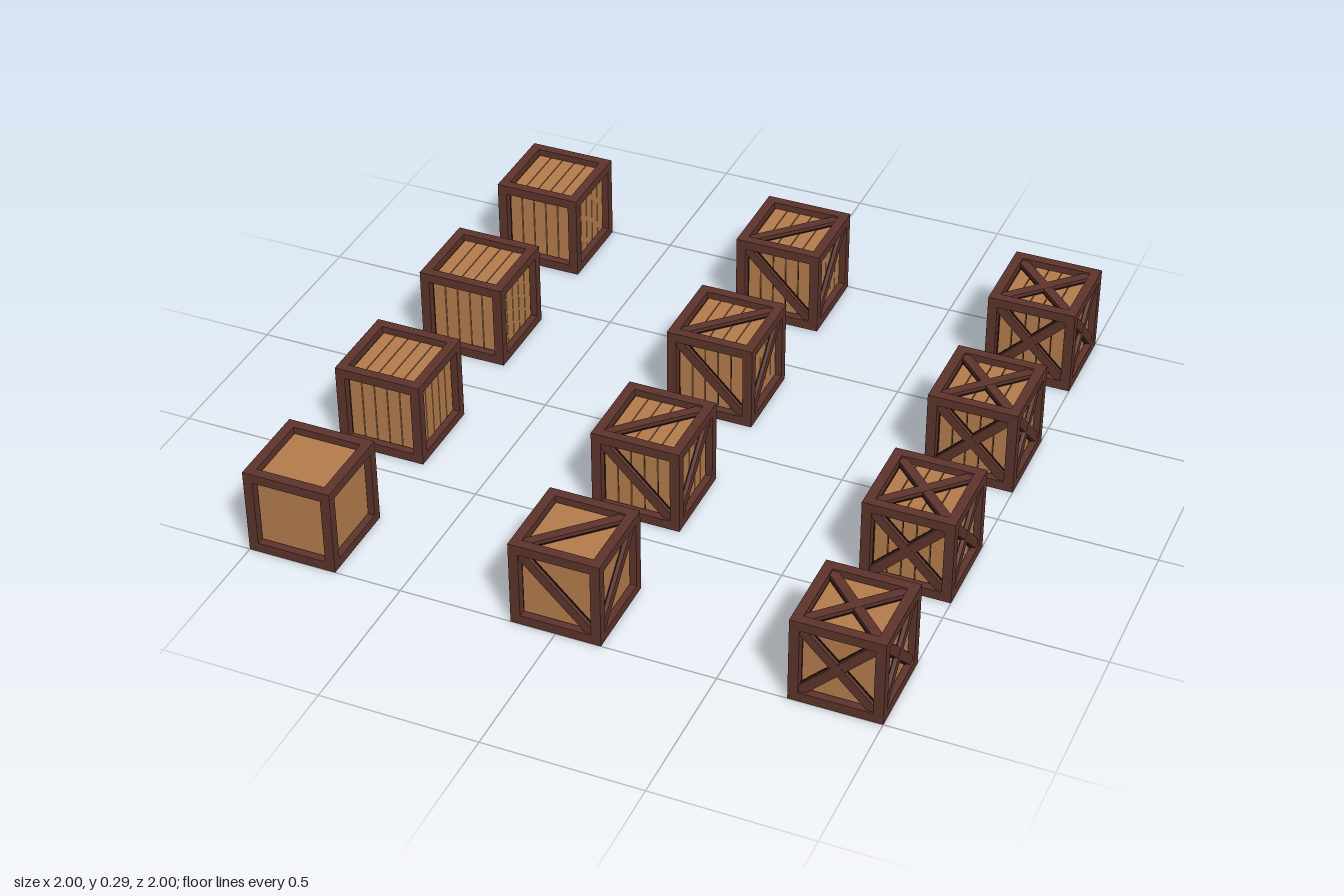
import * as THREE from 'three';

const S = 2 / 7;          // crate size
const H = S / 2;
const F = 0.031;          // frame bar thickness
const O = H - F;          // half width of the opening inside the frame

const material = (name, color) => {
  const m = new THREE.MeshStandardMaterial({ color });
  m.name = name;
  return m;
};

export function createModel() {
  const wood = material('lightWood', 0xb57d4c);
  const dark = material('darkWood', 0x5c342c);
  const gap = material('gapShadow', 0x1e110e);

  const add = (parent, name, geometry, mat, x = 0, y = 0, z = 0) => {
    const mesh = new THREE.Mesh(geometry, mat);
    mesh.name = name;
    mesh.position.set(x, y, z);
    parent.add(mesh);
    return mesh;
  };

  // Diagonal strip whose ends are cut square to the opening corners
  const diagonal = (width, depth) => {
    const c = width / Math.SQRT2;
    const shape = new THREE.Shape([
      [-O, -O], [-O + c, -O], [O, O - c], [O, O], [O - c, O], [-O, -O + c],
    ].map(([x, y]) => new THREE.Vector2(x, y)));
    return new THREE.ExtrudeGeometry(shape, { depth, bevelEnabled: false });
  };
  const braceGeometry = diagonal(0.03, 0.014);
  const edgeGeometry = diagonal(0.038, 0.002);
  const coreGeometry = new THREE.BoxGeometry(S - 0.052, S - 0.052, S - 0.052);
  const panelZ = H - 0.02;

  // Frame bars: uprights plus rails along x and z
  const post = new THREE.BoxGeometry(F, S, F);
  const railX = new THREE.BoxGeometry(2 * O, F, F);
  const railZ = new THREE.BoxGeometry(F, F, 2 * O);

  const faces = [
    { name: 'front', rot: [0, 0, 0], slopes: [-1, 1] },
    { name: 'back', rot: [0, Math.PI, 0], slopes: [1, -1] },
    { name: 'left', rot: [0, Math.PI / 2, 0], slopes: [1, -1] },
    { name: 'right', rot: [0, -Math.PI / 2, 0], slopes: [1, -1] },
    { name: 'top', rot: [-Math.PI / 2, 0, 0], slopes: [1, -1] },
    { name: 'bottom', rot: [Math.PI / 2, 0, 0], slopes: [1, -1] },
  ];

  // One recessed side: planks and 0, 1 or 2 braces
  const makeSide = (face, planks, braces, panelMaterial) => {
    const side = new THREE.Group();
    side.name = face.name + 'Side';
    side.rotation.set(...face.rot);
    const space = 0.004;
    const span = 2 * O - 2 * space;
    const pitch = span / planks;
    const width = planks > 1 ? pitch - 0.003 : span;
    const plank = new THREE.BoxGeometry(width, span, 0.006);
    for (let i = 0; i < planks; i++) {
      add(side, 'plank', plank, panelMaterial, -span / 2 + (i + 0.5) * pitch, 0, panelZ - 0.003);
    }
    face.slopes.slice(0, braces).forEach((slope, i) => {
      const turn = slope > 0 ? 0 : Math.PI / 2;
      add(side, 'braceEdge', edgeGeometry, gap, 0, 0, panelZ - 0.0005 * i).rotation.z = turn;
      add(side, 'brace', braceGeometry, dark, 0, 0, panelZ - 0.0005 * i).rotation.z = turn;
    });
    return side;
  };

  const makeCrate = (planks, braces, darkSide) => {
    const crate = new THREE.Group();
    crate.name = 'crate';
    add(crate, 'core', coreGeometry, gap);
    const c = H - F / 2;
    for (const a of [-c, c]) {
      for (const b of [-c, c]) {
        add(crate, 'cornerPost', post, dark, a, 0, b);
        add(crate, 'crossRail', railX, dark, 0, a, b);
        add(crate, 'sideRail', railZ, dark, a, b, 0);
      }
    }
    for (const face of faces) {
      crate.add(makeSide(face, planks, braces, face.name === darkSide ? dark : wood));
    }
    return crate;
  };

  // Grid: columns add braces, the front row has plain panels
  const model = new THREE.Group();
  model.name = 'crateSet';
  for (let col = 0; col < 3; col++) {
    for (let row = 0; row < 4; row++) {
      let darkSide = '';
      if (col === 2 && row === 0) darkSide = 'back';
      if (col === 1 && (row === 0 || row === 3)) darkSide = 'bottom';
      const crate = makeCrate(row === 0 ? 1 : 5, col, darkSide);
      crate.position.set((col - 1) * 3 * S, H, (1.5 - row) * 2 * S);
      model.add(crate);
    }
  }
  return model;
}
